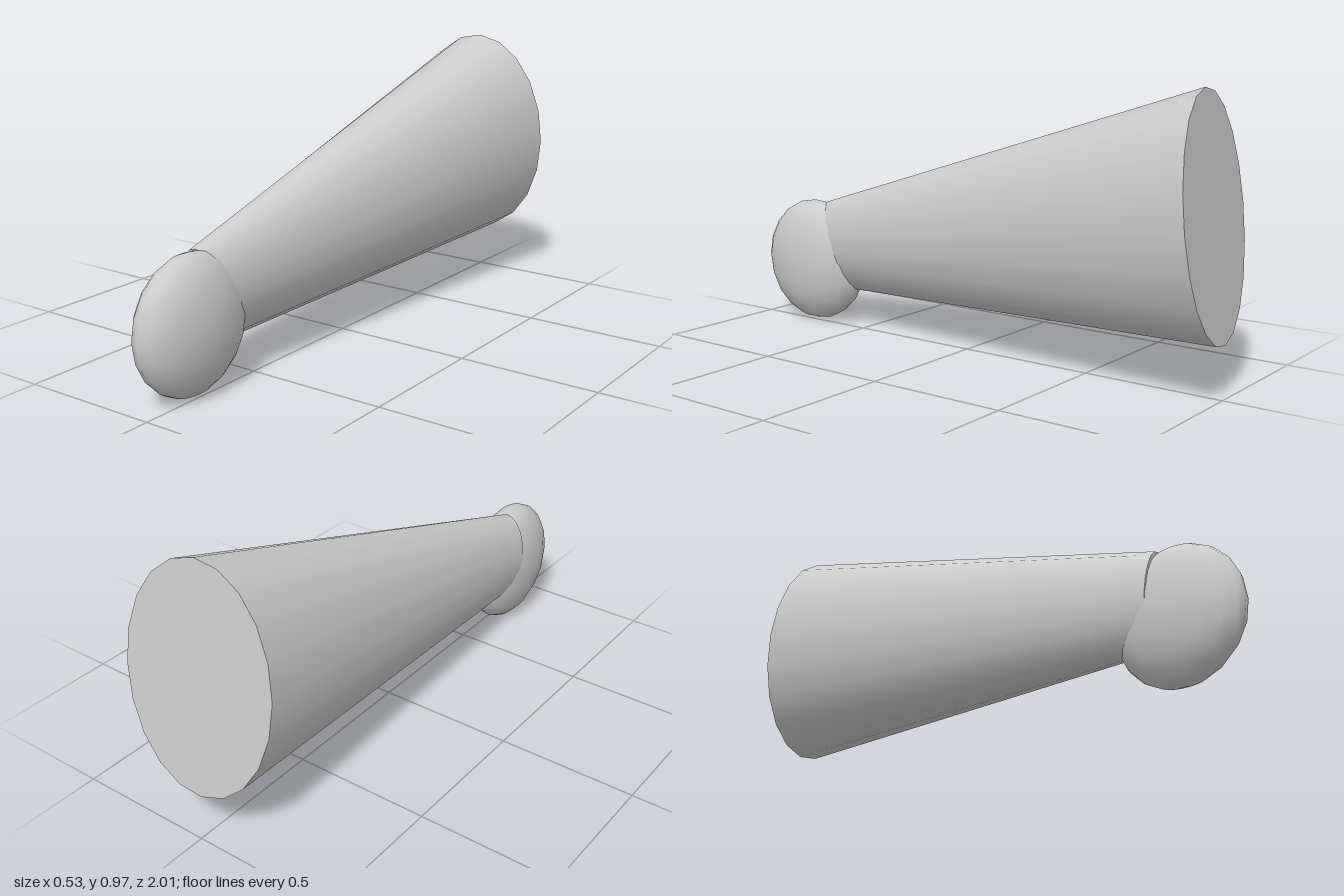
import * as THREE from 'three';
import { mergeVertices } from 'three/addons/utils/BufferGeometryUtils.js';

export function createModel() {
  const model = new THREE.Group();
  const grey = new THREE.MeshStandardMaterial({ color: 0xcccccc });
  const v = (x, y, z) => new THREE.Vector3(x, y, z);

  // Flattened ball at the narrow end
  const ball = new THREE.Mesh(new THREE.SphereGeometry(1, 20, 10), grey);
  ball.name = 'ball';
  ball.scale.set(0.107, 0.235, 0.235);
  ball.position.set(-0.03, 0.237, 0.765);
  model.add(ball);

  // Tapered horn between two slanted oval ends: centre, sideways and upward half axes
  const back = { c: v(0, 0.575, -0.957), u: v(0.265, -0.015, -0.033), w: v(0.015, 0.4, 0.04) };
  const front = { c: v(-0.049, 0.3, 0.7), u: v(0.083, -0.005, -0.01), w: v(0.005, 0.167, 0.015) };
  let geometry = new THREE.CylinderGeometry(1, 1, 2, 20, 1);
  geometry.deleteAttribute('uv');
  geometry = mergeVertices(geometry);
  const pos = geometry.attributes.position;
  for (let i = 0; i < pos.count; i++) {
    const end = pos.getY(i) > 0 ? front : back;
    const p = end.c.clone()
      .addScaledVector(end.u, pos.getX(i))
      .addScaledVector(end.w, -pos.getZ(i));
    pos.setXYZ(i, p.x, p.y, p.z);
  }
  geometry.computeVertexNormals();
  const horn = new THREE.Mesh(geometry, grey);
  horn.name = 'taperedHorn';
  model.add(horn);

  return model;
}
